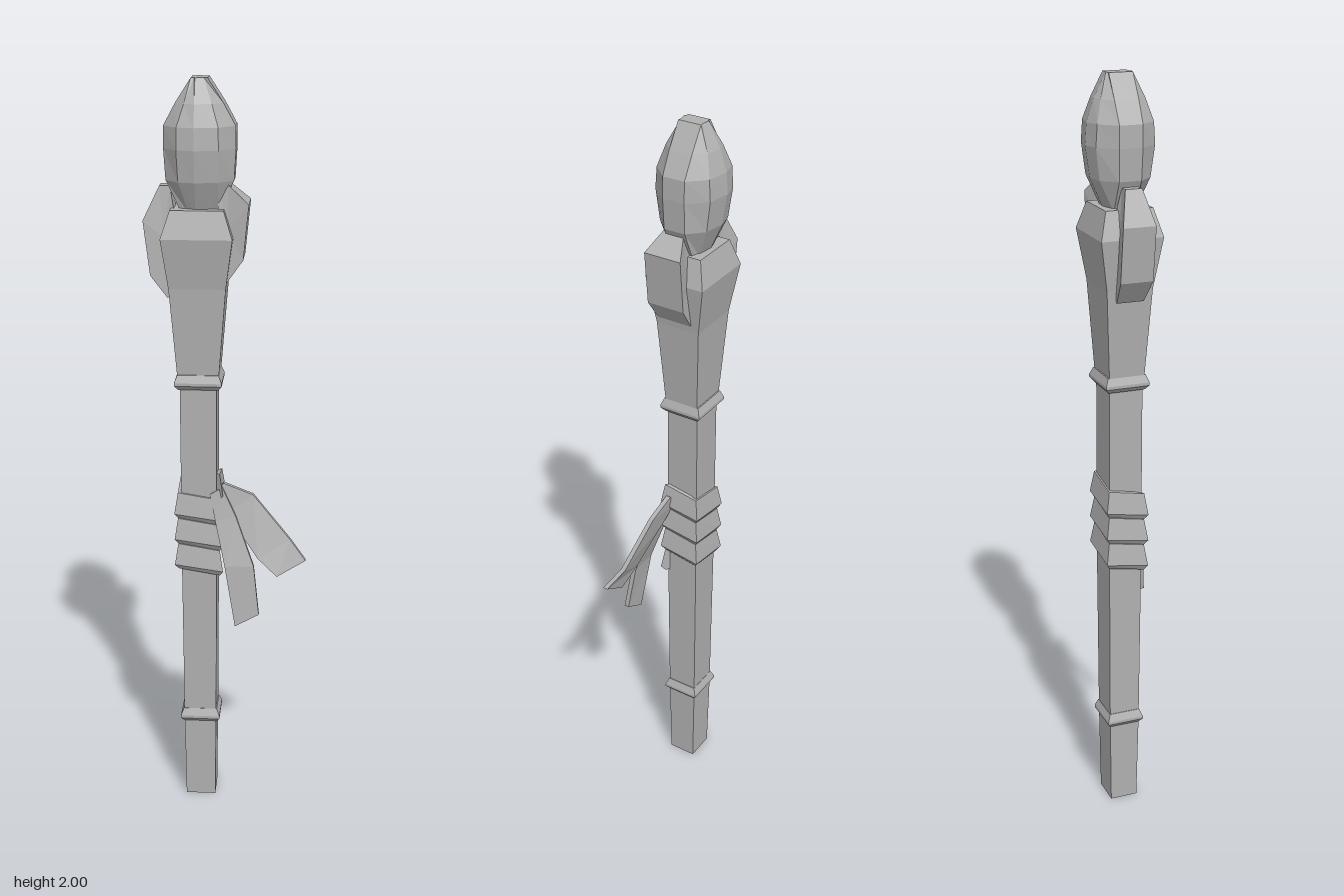
import * as THREE from 'three';

// Skin a closed tube through rings of [x, y, z] points, with fan caps at both ends
function loft(rings) {
  const pos = [];
  const n = rings[0].length;
  const tri = (a, b, c) => pos.push(...a, ...b, ...c);
  for (let i = 0; i < rings.length - 1; i++) {
    for (let j = 0; j < n; j++) {
      const k = (j + 1) % n;
      const [a, b, c, d] = [rings[i][j], rings[i][k], rings[i + 1][k], rings[i + 1][j]];
      tri(a, b, c);
      tri(a, c, d);
    }
  }
  const cap = (ring, flip) => {
    const mid = [0, 1, 2].map(q => ring.reduce((s, p) => s + p[q], 0) / n);
    ring.forEach((p, j) => {
      const next = ring[(j + 1) % n];
      if (flip) tri(mid, next, p);
      else tri(mid, p, next);
    });
  };
  cap(rings[0], true);
  cap(rings[rings.length - 1], false);

  // Turn the faces outward if the enclosed volume comes out negative
  const v = q => new THREE.Vector3(pos[q], pos[q + 1], pos[q + 2]);
  let volume = 0;
  for (let q = 0; q < pos.length; q += 9) volume += v(q).dot(v(q + 3).cross(v(q + 6)));
  if (volume < 0) {
    for (let q = 0; q < pos.length; q += 9) {
      for (let e = 0; e < 3; e++) [pos[q + 3 + e], pos[q + 6 + e]] = [pos[q + 6 + e], pos[q + 3 + e]];
    }
  }
  const geo = new THREE.BufferGeometry();
  geo.setAttribute('position', new THREE.Float32BufferAttribute(pos, 3));
  geo.computeVertexNormals();
  return geo;
}

const CX = -0.075, CZ = -0.013; // axis of the staff
const CORNERS = [[1, 1], [1, -1], [-1, -1], [-1, 1]];

export function createModel() {
  const group = new THREE.Group();
  const grey = new THREE.MeshStandardMaterial({ color: 0xb0b0b0, flatShading: true });
  grey.name = 'plain grey';
  const add = (name, rings) => {
    const mesh = new THREE.Mesh(loft(rings), grey);
    mesh.name = name;
    group.add(mesh);
  };
  const square = ([y, hx, hz]) => CORNERS.map(([sx, sz]) => [CX + sx * hx, y, CZ + sz * hz]);

  // Square pole and flared head: height, half width, half depth
  add('pole', [[0, 0.041, 0.038], [0.24, 0.044, 0.042], [0.7, 0.047, 0.045], [1.22, 0.048, 0.045]].map(square));
  add('head', [[1.22, 0.052, 0.046], [1.48, 0.073, 0.061], [1.61, 0.091, 0.082], [1.68, 0.068, 0.062]].map(square));

  // Raised collars round the pole
  for (const [name, y, r] of [['lowerCollar', 0.235, 0.054], ['upperCollar', 1.21, 0.062]]) {
    add(name, [[y, r - 0.01, r - 0.013], [y + 0.012, r, r - 0.003],
      [y + 0.02, r, r - 0.003], [y + 0.04, r - 0.008, r - 0.011]].map(square));
  }

  // Faceted crystal: height, half width, side half depth, front half depth
  const crystal = [
    [1.67, 0.048, 0.028, 0.04], [1.75, 0.086, 0.029, 0.076], [1.83, 0.091, 0.03, 0.088],
    [1.885, 0.09, 0.03, 0.084], [1.94, 0.06, 0.031, 0.066], [2, 0.021, 0.031, 0.034],
  ];
  add('crystal', crystal.map(([y, w, s, d]) => [
    [w, s], [w * 0.55, d * 0.87], [-0.01, d], [-w * 0.6, d * 0.87], [-w, s],
    [-w, -s], [-w * 0.6, -d * 0.87], [-0.01, -d], [w * 0.55, -d * 0.87], [w, -s],
  ].map(([x, z]) => [-0.069 + x, y, -0.016 + z])));

  // Side claws: outline points of x, y and half depth
  const claw = (name, cz, outline) =>
    add(name, [1, -1].map(s => outline.map(([x, y, h]) => [x, y, cz + s * h])));
  claw('rightClaw', -0.014, [
    [-0.145, 1.735, 0.02], [-0.172, 1.735, 0.022], [-0.213, 1.65, 0.043],
    [-0.196, 1.51, 0.043], [-0.152, 1.45, 0.036], [-0.12, 1.5, 0.036], [-0.13, 1.65, 0.036],
  ]);
  claw('leftClaw', -0.006, [
    [-0.02, 1.735, 0.025], [0.004, 1.74, 0.028], [0.056, 1.695, 0.051],
    [0.042, 1.555, 0.051], [-0.008, 1.485, 0.048], [-0.035, 1.53, 0.04], [-0.025, 1.65, 0.036],
  ]);

  // Cloth band wound three times down the pole
  const turns = 3, wrap = [];
  for (let i = 0; i <= turns * 4; i++) {
    const [sx, sz] = CORNERS[i % 4];
    const y = 0.942 - i * 0.0183;
    wrap.push([[0.03, 0.036], [0.056, 0.036], [0.065, -0.022], [0.056, -0.036], [0.03, -0.036]]
      .map(([r, dy]) => [CX + sx * r, y + dy, CZ + sz * (r - 0.007)]));
  }
  add('wrap', wrap);

  // Hanging ribbon ends: pairs of edge points, given thickness in depth
  const ribbon = (name, pairs) => add(name, pairs.map(([a, b]) => [
    a, b, [b[0], b[1], b[2] - 0.013], [a[0], a[1], a[2] - 0.013],
  ]));
  ribbon('longRibbon', [
    [[-0.012, 0.94, 0.035], [-0.045, 0.92, 0.035]],
    [[0.025, 0.865, 0.052], [-0.03, 0.85, 0.052]],
    [[0.075, 0.735, 0.085], [-0.003, 0.735, 0.085]],
    [[0.09, 0.603, 0.102], [0.026, 0.567, 0.102]],
  ]);
  ribbon('shortRibbon', [
    [[-0.01, 0.95, 0.026], [-0.035, 0.91, 0.03]],
    [[0.07, 0.92, 0.03], [0.0, 0.87, 0.04]],
    [[0.17, 0.805, 0.055], [0.085, 0.755, 0.075]],
    [[0.213, 0.757, 0.085], [0.137, 0.71, 0.089]],
  ]);
  return group;
}
